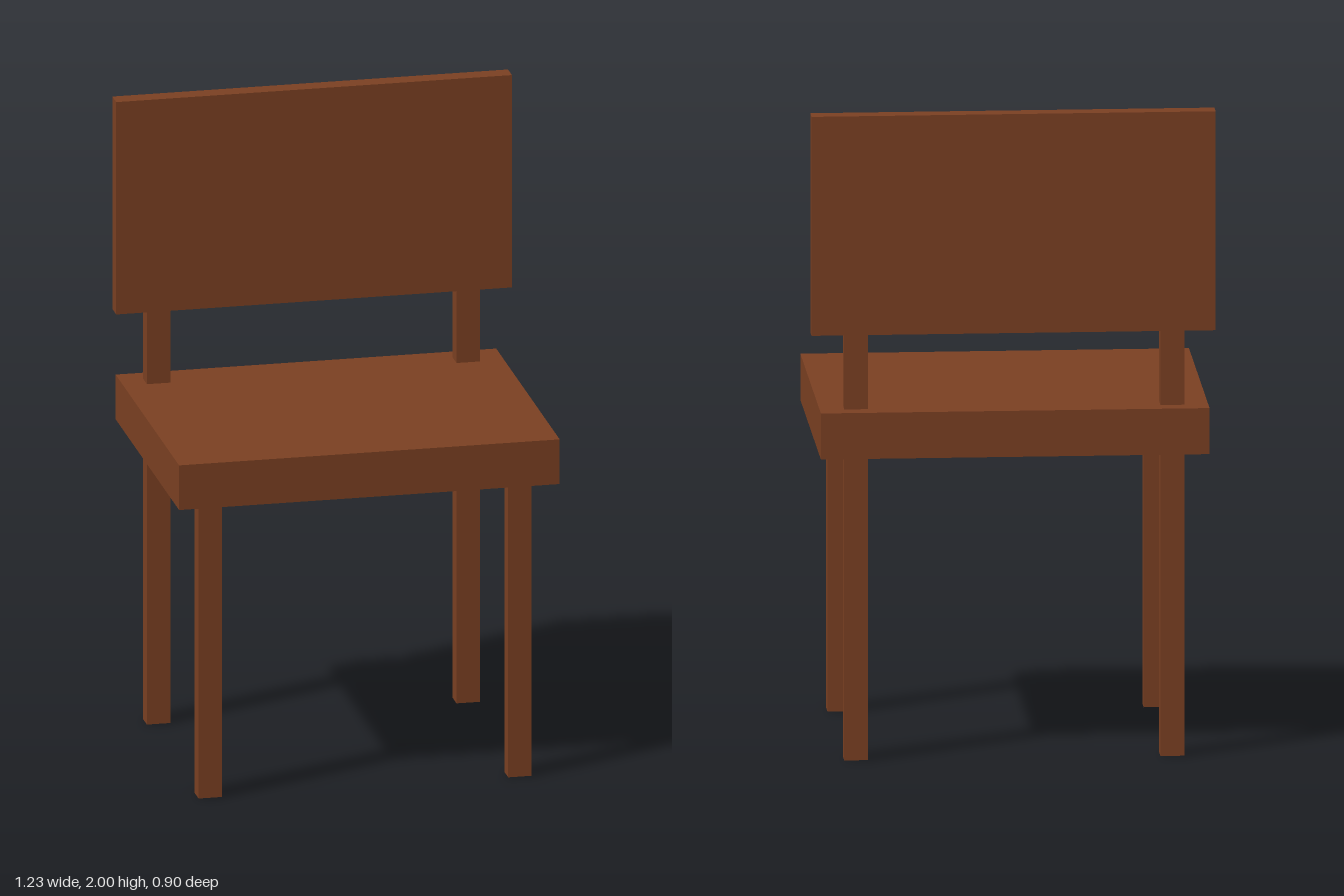
import * as THREE from 'three';

export function createModel() {
  const chair = new THREE.Group();
  chair.name = 'chair';
  const wood = new THREE.MeshStandardMaterial({ color: 0x7b4022 });
  wood.name = 'brown wood';

  // Box resting on height y0 and reaching y1
  function box(name, width, depth, y0, y1, x, z) {
    const mesh = new THREE.Mesh(new THREE.BoxGeometry(width, y1 - y0, depth), wood);
    mesh.name = name;
    mesh.position.set(x, (y0 + y1) / 2, z);
    chair.add(mesh);
  }

  const seatBottom = 0.947, seatTop = 1.09, backBottom = 1.32;
  const legWidth = 0.073, legDepth = 0.056, legZ = 0.368;

  // Seat slab and backrest panel
  box('seat', 1.185, 0.904, seatBottom, seatTop, -0.001, 0);
  box('backrest', 1.232, legDepth, backBottom, 2, 0, -legZ);

  // Legs, with posts continuing the back pair up to the backrest
  for (const [side, x] of [['left', 0.48], ['right', -0.484]]) {
    box(side + 'FrontLeg', legWidth, legDepth, 0, seatBottom, x, legZ);
    box(side + 'BackLeg', legWidth, legDepth, 0, seatBottom, x, -legZ);
    box(side + 'BackPost', legWidth, legDepth, seatTop, backBottom, x, -legZ);
  }
  return chair;
}
